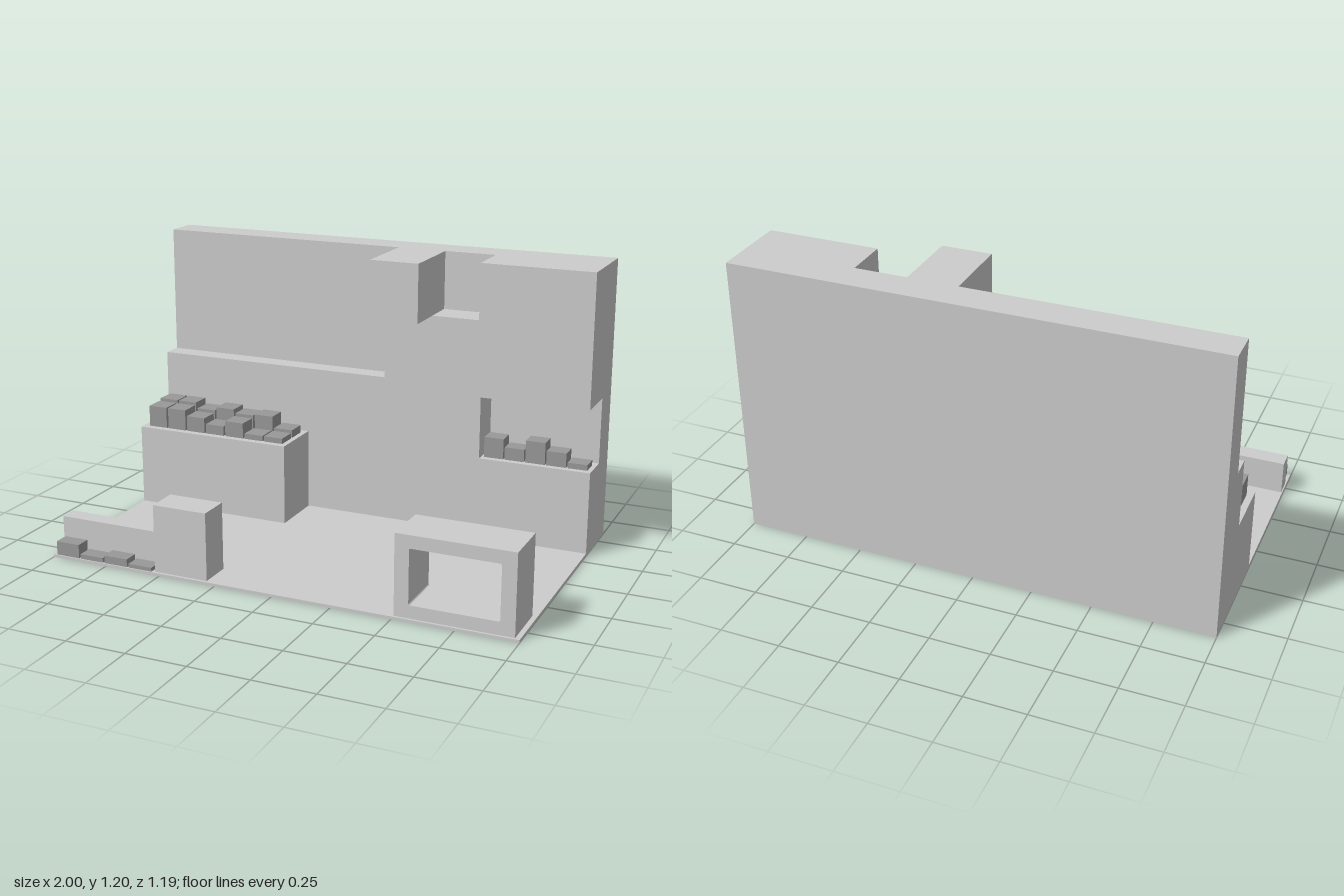
import * as THREE from 'three';

const lightGrey = new THREE.MeshStandardMaterial({ color: 0xcccccc });
lightGrey.name = 'light grey';
const midGrey = new THREE.MeshStandardMaterial({ color: 0x999999 });
midGrey.name = 'mid grey';

export function createModel() {
  const model = new THREE.Group();
  model.name = 'kitchenRoom';

  // Box given by its limits on each axis
  const box = (name, x0, x1, y0, y1, z0, z1, material = lightGrey) => {
    const mesh = new THREE.Mesh(new THREE.BoxGeometry(x1 - x0, y1 - y0, z1 - z0), material);
    mesh.position.set((x0 + x1) / 2, (y0 + y1) / 2, (z0 + z1) / 2);
    mesh.name = name;
    model.add(mesh);
  };

  // Room shell
  const wallFront = -0.453;
  box('floor', -1, 1, 0, 0.012, wallFront, 0.595);
  box('backWall', -1, 1, 0, 1.2, -0.595, wallFront);

  // Fittings along the back wall
  box('lowerWall', -0.29, 0.525, 0.012, 0.362, wallFront, -0.365);
  box('backLedge', -1, 0.095, 0.362, 0.65, wallFront, -0.365);
  box('column', 0.095, 0.525, 0.362, 0.953, wallFront, -0.312);
  box('hood', 0.095, 0.305, 0.953, 1.2, wallFront, -0.143);
  box('upperCabinet', 0.525, 1, 0.642, 1.2, wallFront, -0.262);
  box('rightCounter', 0.525, 1, 0.012, 0.362, wallFront, -0.312);
  box('leftCounter', -1, -0.29, 0.012, 0.362, wallFront, -0.12);

  // A row of small boxes with varied heights
  const row = (name, x, step, width, y, z0, z1, tops) =>
    tops.forEach((top, i) => box(name, x + i * step, x + i * step + width, y, top, z0, z1, midGrey));
  row('rearCounterBox', -0.973, 0.0955, 0.087, 0.362, -0.335, -0.248,
    [0.465, 0.465, 0.44, 0.456, 0.44, 0.446, 0.396]);
  row('frontCounterBox', -0.973, 0.0955, 0.087, 0.362, -0.237, -0.15,
    [0.455, 0.455, 0.43, 0.405, 0.43, 0.386, 0.386]);
  row('rightCounterBox', 0.537, 0.09, 0.084, 0.362, -0.415, -0.34,
    [0.45, 0.416, 0.457, 0.424, 0.386]);
  row('frontShelfBox', -0.985, 0.114, 0.106, 0.012, 0.526, 0.59,
    [0.07, 0.032, 0.045, 0.028]);

  // Low units at the front left
  box('frontShelf', -0.995, -0.523, 0.012, 0.155, 0.445, 0.52);
  box('frontCabinet', -0.523, -0.288, 0.012, 0.295, 0.445, 0.583);

  // Open frame at the front right
  const frame = new THREE.Shape([
    [0.507, 0.012], [0.98, 0.012], [0.98, 0.343], [0.507, 0.343],
  ].map(([x, y]) => new THREE.Vector2(x, y)));
  const [l, r, b, t, c] = [0.565, 0.922, 0.065, 0.29, 0.008];
  const hole = new THREE.Path();
  hole.moveTo(l + c, b);
  hole.lineTo(r - c, b);
  hole.quadraticCurveTo(r, b, r, b + c);
  hole.lineTo(r, t - c);
  hole.quadraticCurveTo(r, t, r - c, t);
  hole.lineTo(l + c, t);
  hole.quadraticCurveTo(l, t, l, t - c);
  hole.lineTo(l, b + c);
  hole.quadraticCurveTo(l, b, l + c, b);
  frame.holes.push(hole);
  const frameMesh = new THREE.Mesh(
    new THREE.ExtrudeGeometry(frame, { depth: 0.212, bevelEnabled: false, curveSegments: 3 }), lightGrey);
  frameMesh.position.z = 0.373;
  frameMesh.name = 'openFrame';
  model.add(frameMesh);

  return model;
}
